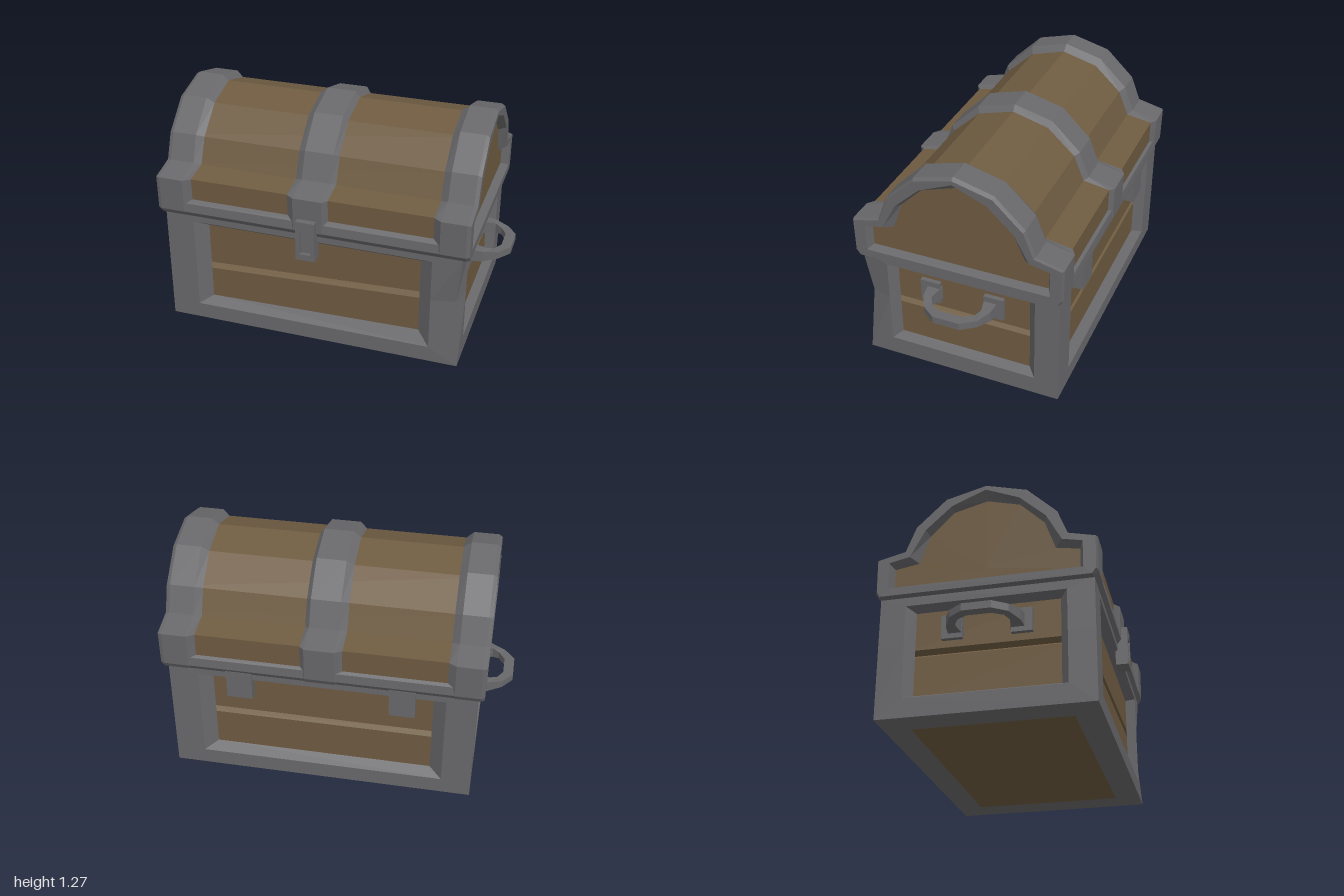
import * as THREE from 'three';

const metal = new THREE.MeshStandardMaterial({ color: 0x68686b });
metal.name = 'dark iron';
const wood = new THREE.MeshStandardMaterial({ color: 0x6e5b41 });
wood.name = 'brown wood';

// Flat-faced geometry from a list of triangles
function fromTriangles(tris) {
  const g = new THREE.BufferGeometry();
  g.setAttribute('position', new THREE.Float32BufferAttribute(tris.flat(2), 3));
  g.computeVertexNormals();
  return g;
}

// Skin between successive closed loops with equal point counts
function loft(loops) {
  const tris = [];
  for (let k = 0; k + 1 < loops.length; k++) {
    const a = loops[k], b = loops[k + 1], n = a.length;
    for (let i = 0; i < n; i++) {
      const j = (i + 1) % n;
      if (b[i] !== b[j]) tris.push([a[i], b[i], b[j]]);
      tris.push([a[i], b[j], a[j]]);
    }
  }
  return fromTriangles(tris);
}

// Closing loop collapsed to one point
const cap = (loop, c) => loop.map(() => c);
const mirrorX = loops => loops.map(l => l.map(([x, y, z]) => [-x, y, z]).reverse());
const at = (x, profile) => profile.map(([z, y]) => [x, y, z]);

export function createModel() {
  const model = new THREE.Group();
  const add = (name, geometry, material, parent = model) => {
    const m = new THREE.Mesh(geometry, material);
    m.name = name;
    parent.add(m);
    return m;
  };
  const group = name => {
    const g = new THREE.Group();
    g.name = name;
    model.add(g);
    return g;
  };

  // ---- Base: framed faces with recessed grooved planks ----
  const base = group('base');
  const depth = 0.05, mid = 0.39;
  const rect = (u0, u1, v0, v1, tilt = 0) =>
    [[u0, v0], [u0, mid], [u0, v1], [u1, v1], [u1, mid], [u1, v0 + tilt]];
  // front right corner post is dented at mid height
  const dent = p => (p[0] > 0.82 && p[2] > 0.53 && p[1] === mid ? [0.8, mid, 0.51] : p);
  const faces = [
    { name: 'front', put: (u, v, d) => [u, v, 0.54 - d], edge: [-0.83, 0.83],
      hole: [-0.67, 0.67, 0.09, 0.625], panel: [-0.6, 0.6, 0.13, 0.59, 0.025], groove: [0.35, 0.4] },
    { name: 'back', put: (u, v, d) => [-u, v, -0.57 + d], edge: [-0.83, 0.83],
      hole: [-0.67, 0.67, 0.09, 0.625], panel: [-0.6, 0.6, 0.13, 0.59], groove: [0.38, 0.38] },
    { name: 'left', put: (u, v, d) => [0.83 - d, v, -u], edge: [-0.54, 0.57],
      hole: [-0.4, 0.435, 0.105, 0.612], panel: [-0.36, 0.39, 0.13, 0.588], groove: [0.38, 0.38] },
    { name: 'right', put: (u, v, d) => [-0.83 + d, v, u], edge: [-0.57, 0.54],
      hole: [-0.435, 0.4, 0.105, 0.612], panel: [-0.39, 0.36, 0.13, 0.588], groove: [0.38, 0.38] },
  ];
  for (const { name, put, edge, hole, panel, groove } of faces) {
    const loop = (r, d) => r.map(([u, v]) => dent(put(u, v, d)));
    add(name + 'Frame', loft([
      loop(rect(...edge, 0, 0.665), 0), loop(rect(...hole), 0), loop(rect(...panel), depth),
    ]), metal, base);

    // planks run on behind the frame, with a V groove between them
    const [u0, u1, v0, v1] = panel, [gl, gr] = groove, o = 0.03;
    const rows = [[v0 - o, v0 - o, 0], [gl - 0.04, gr - 0.04, 0], [gl - 0.02, gr - 0.02, 0.03],
      [gl, gr, 0], [v1 + o, v1 + o, 0]]
      .map(([l, r, d]) => [put(u0 - o, l, depth + d), put(u1 + o, r, depth + d)]);
    const tris = [];
    for (let i = 0; i < 4; i++) {
      const [a, b] = rows[i], [c, d] = rows[i + 1];
      tris.push([a, b, d], [a, d, c]);
    }
    add(name + 'Planks', fromTriangles(tris), wood, base);
  }

  // Underside: iron border around a wooden floor
  const floorLoop = (x, z0, z1) => [[-x, 0, z0], [-x, 0, z1], [x, 0, z1], [x, 0, z0]];
  const floorInner = floorLoop(0.67, -0.43, 0.4);
  add('bottomFrame', loft([floorLoop(0.83, -0.57, 0.54), floorInner]), metal, base);
  add('bottomBoard', loft([floorInner, cap(floorInner, [0, 0, 0])]), wood, base);

  // ---- Lid: profiles are [z, y], front to back ----
  const lid = group('lid');
  const outer = [[0.54, 0.66], [0.562, 0.69], [0.565, 0.88], [0.415, 0.917], [0.36, 1.06],
    [0.2, 1.215], [-0.015, 1.272], [-0.23, 1.215], [-0.39, 1.06], [-0.445, 0.917],
    [-0.595, 0.88], [-0.592, 0.69], [-0.575, 0.66]];
  const boards = [[0.53, 0.7], [0.53, 0.72], [0.535, 0.88], [0.395, 0.905], [0.337, 1.045],
    [0.185, 1.185], [-0.015, 1.24], [-0.215, 1.185], [-0.367, 1.045], [-0.425, 0.905],
    [-0.57, 0.88], [-0.57, 0.72], [-0.57, 0.7]];
  const opening = [[0.49, 0.708], [0.49, 0.73], [0.49, 0.857], [0.385, 0.88], [0.305, 1.03],
    [0.165, 1.16], [-0.015, 1.235], [-0.195, 1.16], [-0.335, 1.03], [-0.415, 0.88],
    [-0.525, 0.857], [-0.525, 0.73], [-0.525, 0.708]];
  const endBoard = [[0.47, 0.723], [0.47, 0.74], [0.47, 0.838], [0.345, 0.86], [0.29, 1.017],
    [0.16, 1.145], [-0.015, 1.192], [-0.195, 1.145], [-0.32, 1.017], [-0.375, 0.86],
    [-0.505, 0.838], [-0.505, 0.74], [-0.505, 0.723]];
  const chamfer = outer.map(([z, y]) => [-0.015 + (z + 0.015) * 0.985, 0.8 + (y - 0.8) * 0.97]);

  add('lidBoards', loft([at(-0.8, boards), at(0.8, boards)]), wood, lid);
  add('middleBand', loft([at(-0.12, boards), at(-0.08, outer), at(0.08, outer), at(0.105, boards)]), metal, lid);

  const band = [at(0.67, boards), at(0.71, outer), at(0.845, outer), at(0.865, chamfer),
    at(0.865, opening), at(0.82, endBoard)];
  const end = [at(0.82, endBoard), cap(endBoard, [0.82, 0.79, -0.015])];
  add('leftBand', loft(band), metal, lid);
  add('rightBand', loft(mirrorX(band)), metal, lid);
  add('leftEndBoard', loft(end), wood, lid);
  add('rightEndBoard', loft(mirrorX(end)), wood, lid);

  // Rim bars along the lower front and back of the lid
  const rim = [[0.4, 0.66], [0.54, 0.66], [0.56, 0.69], [0.556, 0.74], [0.525, 0.762], [0.4, 0.762]];
  const backRim = rim.map(([z, y]) => [-0.03 - z, y]).reverse();
  add('frontRim', loft([at(-0.75, rim), at(0.75, rim)]), metal, lid);
  add('backRim', loft([at(-0.75, backRim), at(0.75, backRim)]), metal, lid);

  // ---- Lock: plate with a keyhole slot ----
  const lock = group('lock');
  const plate = new THREE.Shape([[-0.055, 0.535], [0.05, 0.535], [0.05, 0.762], [-0.055, 0.762]]
    .map(p => new THREE.Vector2(...p)));
  plate.holes.push(new THREE.Path([[-0.033, 0.57], [-0.033, 0.7], [0.027, 0.7], [0.027, 0.57]]
    .map(p => new THREE.Vector2(...p))));
  add('lockPlate', new THREE.ExtrudeGeometry(plate, { depth: 0.07, bevelEnabled: false })
    .translate(0, 0, 0.527), metal, lock);
  add('lockSlot', new THREE.BoxGeometry(0.08, 0.16, 0.04).translate(-0.003, 0.635, 0.555), metal, lock);

  // ---- Hinges on the back ----
  for (const x of [-0.44, 0.44]) {
    add('hinge', new THREE.BoxGeometry(0.14, 0.165, 0.065).translate(x, 0.587, -0.5475), metal);
  }

  // ---- Side handles: [outer x, outer z, inner x, inner z, half height] ----
  const half = [[0.775, 0.2, 0.775, 0.12, 0.038], [0.865, 0.19, 0.875, 0.14, 0.03],
    [0.945, 0.15, 0.912, 0.118, 0.02], [1, 0.075, 0.945, 0.063, 0.02]];
  const path = [...half, ...half.map(([a, b, c, d, h]) => [a, -b, c, -d, h]).reverse()];
  const grip = path.map(([ox, oz, ix, iz, h]) => [
    [ox, 0.48 + h, oz - 0.017], [ix, 0.48 + h, iz - 0.017],
    [ix, 0.48 - h, iz - 0.017], [ox, 0.48 - h, oz - 0.017]]);
  for (const side of [1, -1]) {
    const handle = group(side > 0 ? 'leftHandle' : 'rightHandle');
    add('grip', loft(side > 0 ? grip : mirrorX(grip)), metal, handle);
    for (const z of [0.165, -0.195]) {
      add('mount', new THREE.BoxGeometry(0.04, 0.13, 0.11).translate(side * 0.785, 0.483, z), metal, handle);
    }
  }
  return model;
}
